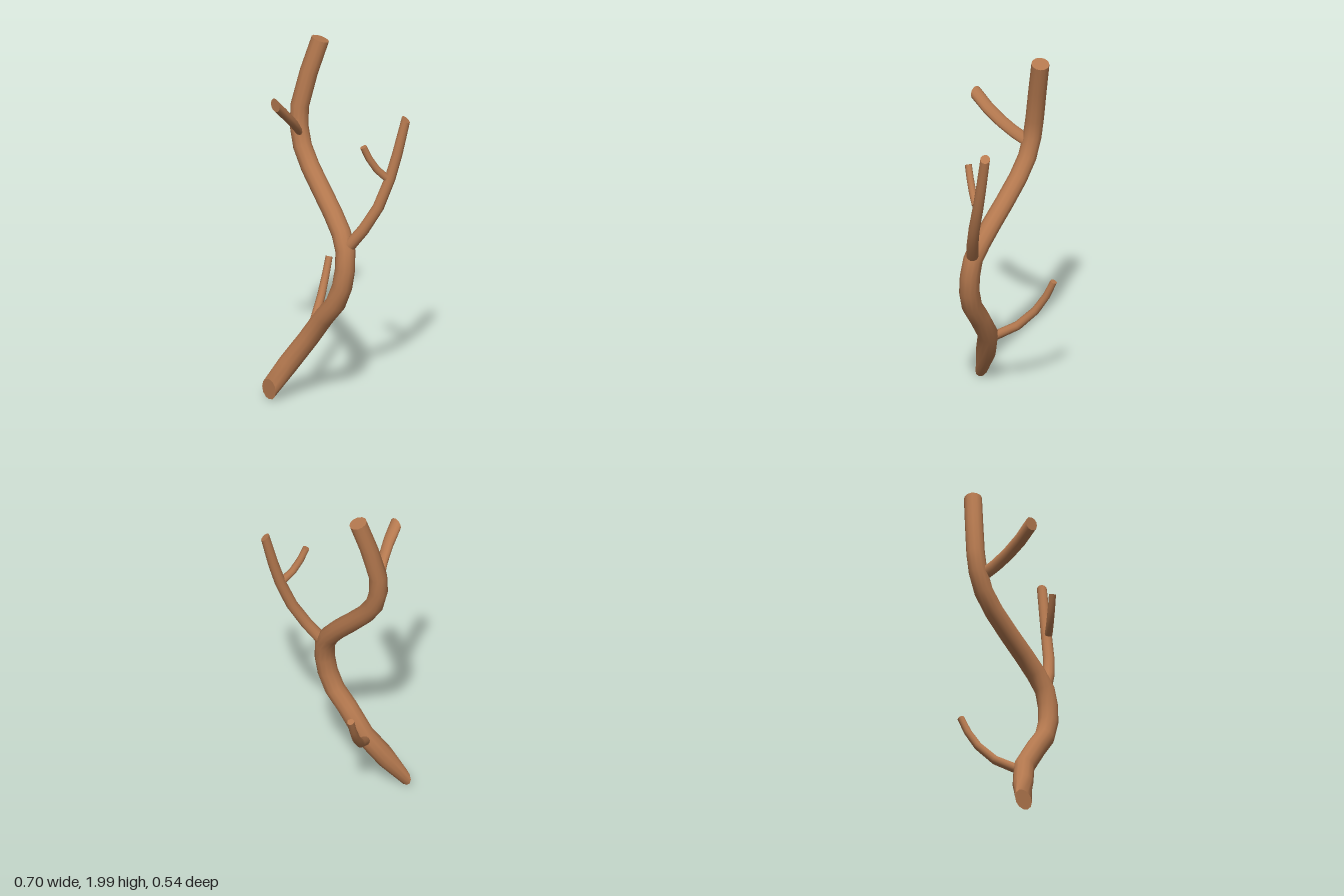
import * as THREE from 'three';

const SIDES = 12;
const bark = new THREE.MeshStandardMaterial({ color: 0xb5794f });
const V = (a) => new THREE.Vector3(...a);

// Tapered limb through centre points; normals overrides the facing of chosen rings.
function limb(name, points, r0, r1, normals = {}) {
  const centres = points.map(V);
  const n = centres.length;
  const pos = [], index = [];
  let u = new THREE.Vector3(1, 0, 0);
  const rings = centres.map((c, i) => {
    const t = normals[i] ? V(normals[i]).normalize()
      : centres[Math.min(i + 1, n - 1)].clone().sub(centres[Math.max(i - 1, 0)]).normalize();
    // carry the side vector along so the rings do not twist
    u = u.clone().addScaledVector(t, -u.dot(t)).normalize();
    const w = t.clone().cross(u);
    const r = r0 + (r1 - r0) * i / (n - 1);
    return Array.from({ length: SIDES }, (_, k) => {
      const a = k / SIDES * Math.PI * 2;
      return c.clone().addScaledVector(u, r * Math.cos(a)).addScaledVector(w, r * Math.sin(a));
    });
  });
  rings.forEach((ring) => ring.forEach((p) => pos.push(p.x, p.y, p.z)));
  for (let i = 0; i < n - 1; i++) {
    for (let k = 0; k < SIDES; k++) {
      const a = i * SIDES + k, b = i * SIDES + (k + 1) % SIDES;
      index.push(a, b, b + SIDES, a, b + SIDES, a + SIDES);
    }
  }
  // flat end caps with their own vertices
  [0, n - 1].forEach((i) => {
    const base = pos.length / 3;
    [centres[i], ...rings[i]].forEach((p) => pos.push(p.x, p.y, p.z));
    for (let k = 0; k < SIDES; k++) {
      const a = base + 1 + k, b = base + 1 + (k + 1) % SIDES;
      index.push(base, ...(i === 0 ? [b, a] : [a, b]));
    }
  });
  const g = new THREE.BufferGeometry();
  g.setAttribute('position', new THREE.Float32BufferAttribute(pos, 3));
  g.setIndex(index);
  g.computeVertexNormals();
  const mesh = new THREE.Mesh(g, bark);
  mesh.name = name;
  return mesh;
}

export function createModel() {
  const group = new THREE.Group();
  group.name = 'branch';

  // Winding main stem, cut upright at the foot
  group.add(limb('mainStem', [
    [-0.21, 0.06, 0.27], [-0.15, 0.2, 0.19], [-0.075, 0.355, 0.105], [0.025, 0.5, 0.08],
    [0.1, 0.595, 0.06], [0.138, 0.7, 0.045], [0.147, 0.8, 0.032], [0.135, 0.9, 0.02],
    [0.085, 0.985, 0.008], [0.005, 1.075, 0.002], [-0.09, 1.17, -0.002], [-0.195, 1.28, -0.004],
    [-0.265, 1.38, -0.006], [-0.3, 1.49, -0.01], [-0.307, 1.6, -0.022], [-0.283, 1.79, -0.065],
    [-0.25, 1.975, -0.117],
  ], 0.058, 0.049, { 0: [0, 0, -1], 1: [0.25, 0.7, -0.67] }));

  // Stub reaching forward near the top
  const ahead = [0, 0, 1];
  group.add(limb('frontBranch', [
    [-0.28, 1.468, 0.01], [-0.235, 1.52, 0.065], [-0.2, 1.575, 0.125],
    [-0.172, 1.64, 0.195], [-0.155, 1.713, 0.27],
  ], 0.034, 0.038, { 0: ahead, 1: ahead, 2: ahead, 3: ahead, 4: ahead }));

  // Long left branch with its twig
  group.add(limb('leftBranch', [
    [0.155, 0.935, 0.005], [0.21, 1.03, -0.045], [0.262, 1.16, -0.105],
    [0.292, 1.32, -0.162], [0.308, 1.46, -0.2], [0.325, 1.65, -0.245],
  ], 0.034, 0.027, { 5: [0.45, 0.75, -0.4] }));
  group.add(limb('leftTwig', [
    [0.287, 1.33, -0.14], [0.262, 1.38, -0.095], [0.242, 1.445, -0.058], [0.227, 1.515, -0.03],
  ], 0.021, 0.019));

  // Thin low twig reaching back
  group.add(limb('lowerTwig', [
    [-0.105, 0.335, 0.09], [-0.175, 0.41, -0.02], [-0.225, 0.51, -0.105],
    [-0.254, 0.605, -0.158], [-0.271, 0.695, -0.195],
  ], 0.026, 0.019));

  return group;
}
